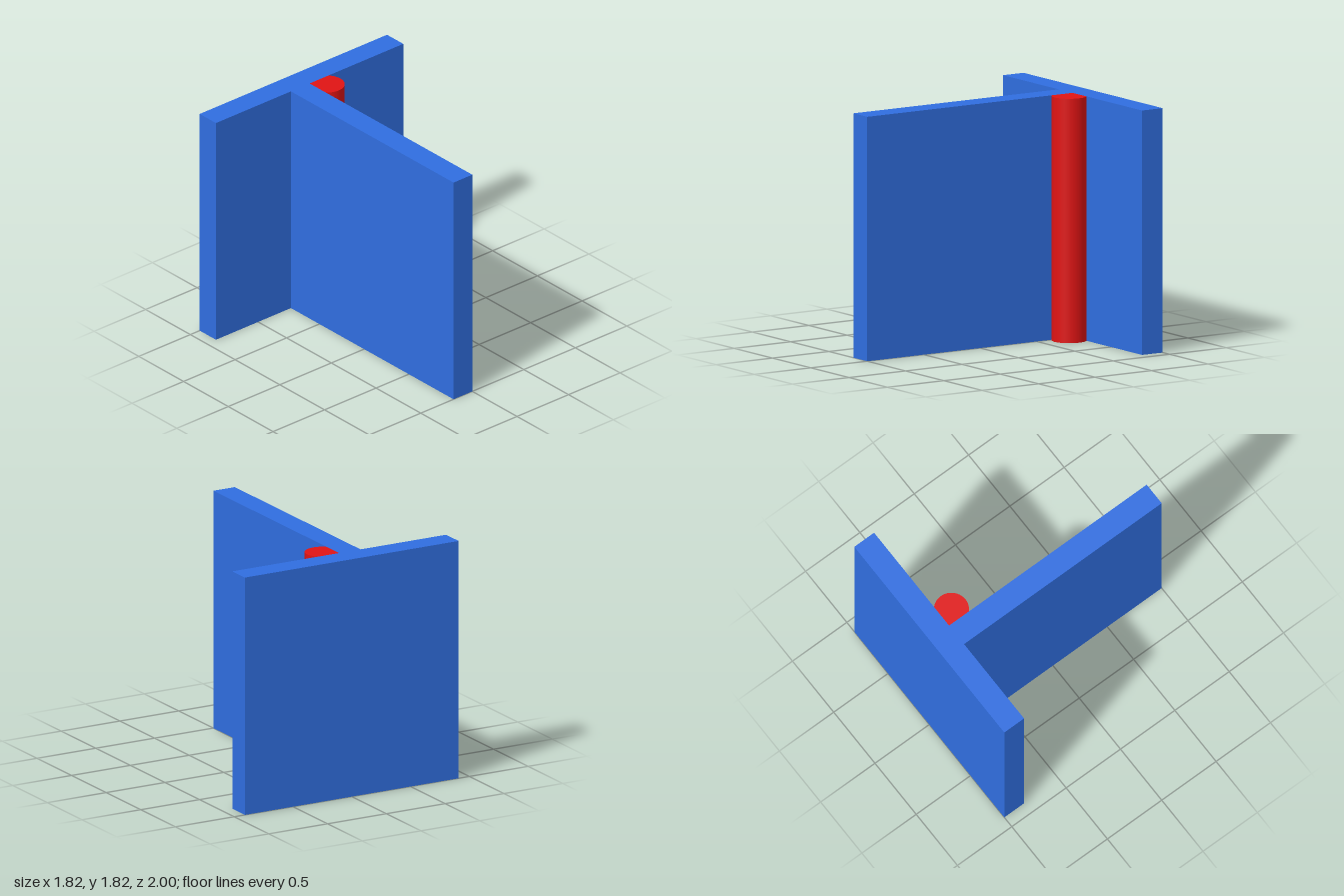
import * as THREE from 'three';
import { toCreasedNormals } from 'three/addons/utils/BufferGeometryUtils.js';

const U = 2 / 11; // wall thickness
const HEIGHT = 10 * U;

// Extrude a plan outline (x, -z) straight up from the ground
function upright(name, shape, color) {
  let geometry = new THREE.ExtrudeGeometry(shape, { depth: HEIGHT, bevelEnabled: false, curveSegments: 48 });
  geometry.rotateX(-Math.PI / 2);
  geometry = toCreasedNormals(geometry, 0.5);
  const mesh = new THREE.Mesh(geometry, new THREE.MeshStandardMaterial({ color }));
  mesh.name = name;
  return mesh;
}

export function createModel() {
  const model = new THREE.Group();
  model.name = 'teeSectionWithRod';

  // T-shaped walls: wide back plate and one long web
  const back = 1, inner = 1 - U, half = 5 * U;
  const tee = new THREE.Shape([
    [-U, -1], [0, -1], [0, inner], [half, inner],
    [half, back], [-half, back], [-half, inner], [-U, inner],
  ].map(([x, y]) => new THREE.Vector2(x, y)));
  model.add(upright('teeWalls', tee, 0x306ee0));

  // Round rod in the inner corner, cut flush where it meets both walls
  const rod = new THREE.Shape();
  rod.moveTo(0, inner);
  rod.lineTo(U, inner);
  rod.absarc(U / 2, inner - U / 2, U * Math.SQRT1_2, Math.PI / 4, -3 * Math.PI / 4, true);
  rod.closePath();
  model.add(upright('cornerRod', rod, 0xe01414));

  return model;
}
